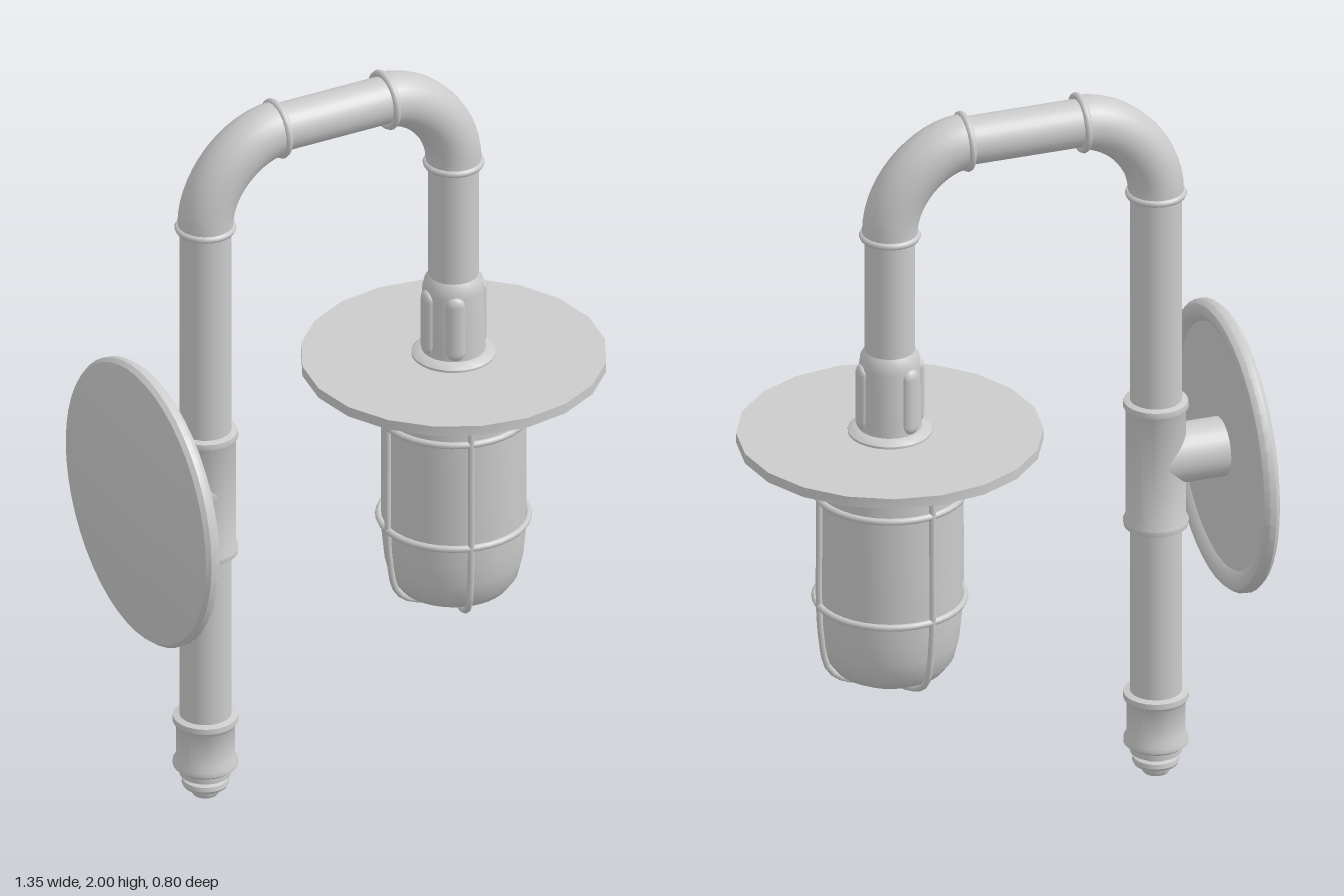
import * as THREE from 'three';
import { toCreasedNormals } from 'three/addons/utils/BufferGeometryUtils.js';

const grey = new THREE.MeshStandardMaterial({ color: 0xcccccc, side: THREE.DoubleSide });
const POST_X = -0.465, LAMP_X = 0.27, TOP_Y = 1.92, ELBOW_Y = 1.69;

export function createModel() {
  const model = new THREE.Group();

  function add(name, geometry, x = 0, y = 0, z = 0, parent = model) {
    const mesh = new THREE.Mesh(geometry, grey);
    mesh.name = name;
    mesh.position.set(x, y, z);
    parent.add(mesh);
    return mesh;
  }
  // Turned part from [radius, height] pairs, bottom to top
  const turned = (points, sides = 28) => toCreasedNormals(
    new THREE.LatheGeometry(points.map(([r, y]) => new THREE.Vector2(r, y)), sides), 0.6);
  const pipe = (r, length) => new THREE.CylinderGeometry(r, r, length, 28);
  const v = (x, y, z = 0) => new THREE.Vector3(x, y, z);

  // Upright pipe, bridge and drop pipe
  add('uprightPipe', pipe(0.068, 1.62), POST_X, 0.88);
  add('bridgePipe', pipe(0.064, 0.34), -0.0925, TOP_Y).rotation.z = Math.PI / 2;
  add('dropPipe', pipe(0.066, 0.4), LAMP_X, 1.5);

  // Elbows with a bead at each end
  for (const [name, x, endX] of [['leftElbow', LAMP_X, 0.065], ['rightElbow', POST_X, -0.255]]) {
    const k = 0.55;
    const bend = new THREE.CubicBezierCurve3(
      v(x, ELBOW_Y), v(x, ELBOW_Y + (TOP_Y - ELBOW_Y) * k),
      v(endX + (x - endX) * (1 - k), TOP_Y), v(endX, TOP_Y));
    add(name, new THREE.TubeGeometry(bend, 14, 0.073, 24));
    const bead = new THREE.TorusGeometry(0.071, 0.01, 8, 28);
    add(name + 'LowerBead', bead, x, ELBOW_Y - 0.007).rotation.x = Math.PI / 2;
    add(name + 'UpperBead', bead, endX, TOP_Y).rotation.y = Math.PI / 2;
  }

  // Tee fitting and its branch to the wall plate
  add('teeFitting', turned([[0.066, 0.715], [0.084, 0.72], [0.086, 0.735], [0.079, 0.75],
    [0.079, 1.05], [0.086, 1.065], [0.084, 1.08], [0.066, 1.085]]), POST_X, 0);
  add('teeBranch', pipe(0.079, 0.18), -0.555, 0.915).rotation.z = Math.PI / 2;

  // Round wall plate with a raised rolled rim
  add('wallPlate', turned([[0, 0], [0.365, 0], [0.38, 0.004], [0.389, 0.016], [0.388, 0.033],
    [0.378, 0.046], [0.362, 0.051], [0.345, 0.046], [0.33, 0.03], [0, 0.03]], 48),
  -0.675, 0.915).rotation.z = -Math.PI / 2;

  // Coupling and stepped plug at the foot of the upright
  add('footCoupling', turned([[0, 0.082], [0.075, 0.082], [0.085, 0.09], [0.085, 0.103], [0.077, 0.118],
    [0.077, 0.205], [0.086, 0.22], [0.085, 0.235], [0.066, 0.24]]), POST_X);
  add('footPlug', turned([[0, 0], [0.033, 0.002], [0.038, 0.01], [0.038, 0.025], [0.058, 0.028],
    [0.062, 0.036], [0.06, 0.048], [0.049, 0.052], [0.049, 0.06], [0.068, 0.063],
    [0.068, 0.085]]), POST_X);

  // Lamp: everything below the drop pipe, turned about its own axis
  const lamp = new THREE.Group();
  lamp.name = 'lamp';
  lamp.position.x = LAMP_X;
  model.add(lamp);

  add('shadeDisc', toCreasedNormals(new THREE.CylinderGeometry(0.4, 0.4, 0.028, 20), 0.5)
    .rotateY(Math.PI / 2), 0, 1.1, 0, lamp);
  add('socket', turned([[0.11, 1.11], [0.11, 1.12], [0.1, 1.128], [0.084, 1.132], [0.082, 1.16],
    [0.08, 1.31], [0.077, 1.335], [0.066, 1.352]]), 0, 0, 0, lamp);
  add('glass', turned([[0, 0.405], [0.06, 0.408], [0.11, 0.418], [0.145, 0.437], [0.168, 0.468],
    [0.181, 0.52], [0.187, 0.58], [0.189, 0.64], [0.189, 1.09]], 36), 0, 0, 0, lamp);
  for (const [name, y, r] of [['upperCageRing', 0.945, 0.195], ['lowerCageRing', 0.637, 0.195]])
    add(name, new THREE.TorusGeometry(r, 0.0095, 8, 36), 0, y, 0, lamp).rotation.x = Math.PI / 2;

  // Cage wires, meeting under the glass
  const wirePath = new THREE.CatmullRomCurve3([v(0.195, 1.09), v(0.195, 0.85), v(0.195, 0.64),
    v(0.188, 0.54), v(0.172, 0.46), v(0.14, 0.424), v(0.07, 0.4), v(0, 0.392)]);
  const wire = new THREE.TubeGeometry(wirePath, 30, 0.009, 8);
  for (const degrees of [0, 105, 180, 255])
    add('cageWire', wire, 0, 0, 0, lamp).rotation.y = THREE.MathUtils.degToRad(degrees);

  // Rounded lugs around the socket
  const lug = new THREE.CapsuleGeometry(0.026, 0.135, 5, 12).scale(0.6, 1, 1).translate(0.077, 1.225, 0);
  for (const degrees of [0, 115, 180, 245])
    add('socketLug', lug, 0, 0, 0, lamp).rotation.y = THREE.MathUtils.degToRad(degrees);

  return model;
}
